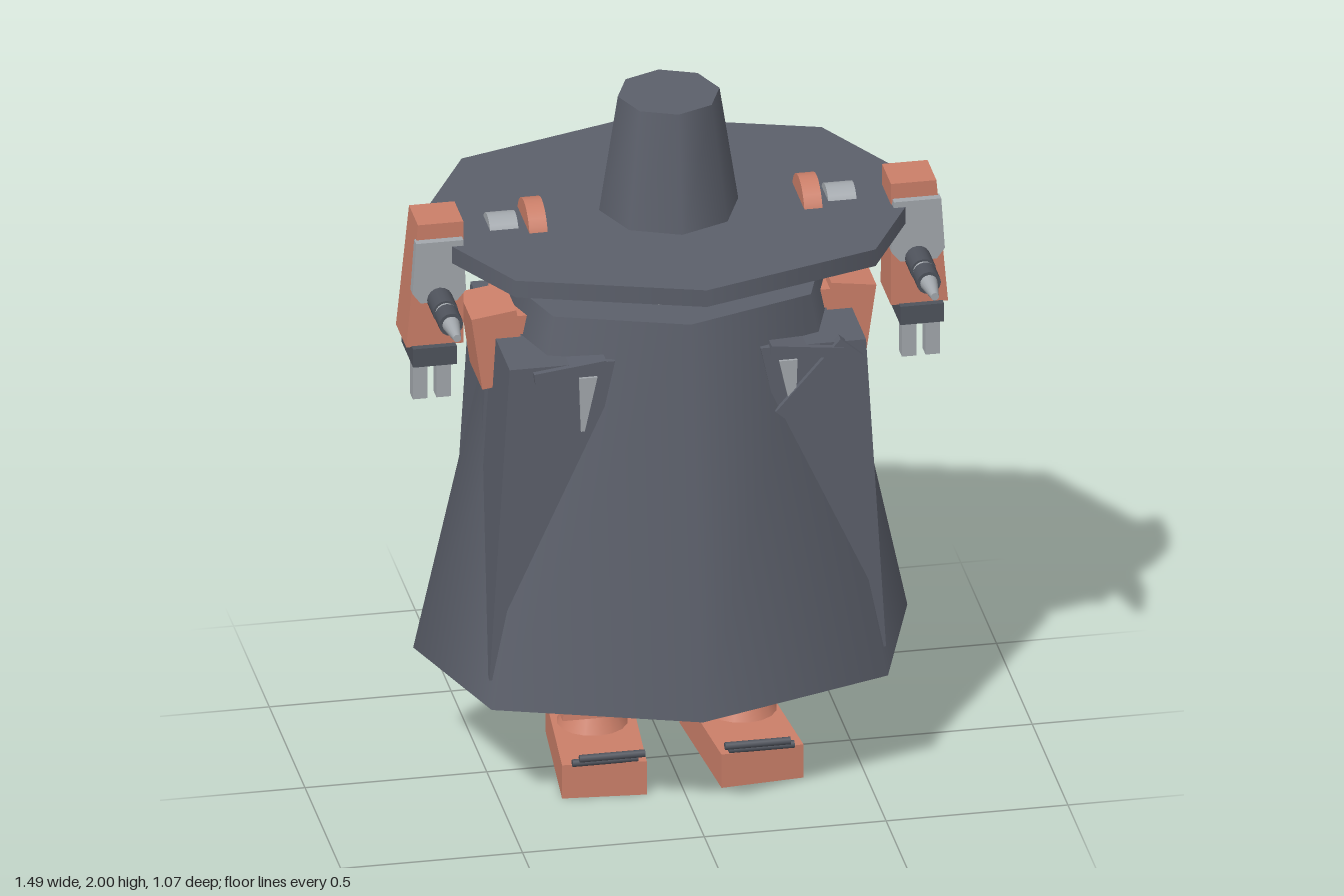
import * as THREE from 'three';

const mat = (name, color) => Object.assign(new THREE.MeshStandardMaterial({ color }), { name });

export function createModel() {
  const model = new THREE.Group();
  model.name = 'robedRobot';
  const cloth = mat('slate cloth', 0x5c606b);
  const orange = mat('terracotta', 0xcb7f69);
  const metal = mat('light metal', 0xa3a8ad);
  const dark = mat('dark metal', 0x4f535c);

  const add = (name, geo, material, x = 0, y = 0, z = 0) => {
    const m = new THREE.Mesh(geo, material);
    m.name = name;
    m.position.set(x, y, z);
    model.add(m);
    return m;
  };
  const box = (name, material, w, h, d, x, y, z) => add(name, new THREE.BoxGeometry(w, h, d), material, x, y, z);

  // Tapered block between two rectangles [x0, x1, z0, z1]; s = -1 mirrors it in x
  const taper = (name, material, y0, y1, low, high, s = 1) => {
    const g = new THREE.BoxGeometry(1, 1, 1);
    const p = g.attributes.position;
    for (let i = 0; i < p.count; i++) {
      const r = p.getY(i) > 0 ? high : low;
      const outer = p.getX(i) * s > 0;
      p.setXYZ(i, s * r[outer ? 1 : 0], p.getY(i) > 0 ? y1 : y0, r[p.getZ(i) > 0 ? 3 : 2]);
    }
    g.computeVertexNormals();
    return add(name, g, material);
  };

  // Robe: smooth seven-sided cone with one corner at the front
  const robe = new THREE.CylinderGeometry(0.65, 1, 1.115, 7);
  robe.scale(0.697, 1, 0.489);
  add('robe', robe, cloth, 0, 0.8925, -0.008);

  // Hat
  add('hatCrown', new THREE.CylinderGeometry(0.14, 0.195, 0.36, 8), cloth, 0, 1.82, 0);
  const brim = new THREE.CylinderGeometry(1, 1, 0.05, 8);
  brim.scale(0.7, 1, 0.535);
  add('hatBrim', brim, cloth, 0, 1.638, 0);

  // Head with face plate
  box('head', cloth, 0.38, 0.2, 0.24, 0, 1.53, 0.005);
  taper('facePlate', metal, 1.44, 1.585, [-0.065, 0.065, 0.12, 0.175], [-0.045, 0.045, 0.12, 0.17]);
  box('faceSlit', dark, 0.018, 0.08, 0.02, 0, 1.545, 0.18);
  box('faceSensor', dark, 0.018, 0.045, 0.02, 0, 1.563, 0.215);
  box('headRearStud', metal, 0.06, 0.03, 0.03, 0, 1.47, -0.125);

  for (const s of [1, -1]) {
    // Corner folds of the robe, front and back
    taper('frontFold', cloth, 0.41, 1.34, [0.4, 0.545, 0.02, 0.27], [0.2, 0.49, 0.02, 0.27], s);
    taper('rearFold', cloth, 0.41, 1.34, [0.4, 0.545, -0.28, -0.02], [0.2, 0.49, -0.28, -0.02], s);

    // Collar clasp and its metal tongue
    const clasp = box('collarClasp', cloth, 0.2, 0.03, 0.07, s * 0.325, 1.325, 0.252);
    clasp.rotation.z = -s * 0.12;
    taper('collarTongue', metal, 1.14, 1.3, [0.285, 0.295, 0.2, 0.278], [0.25, 0.3, 0.2, 0.278], s);

    // Back discs
    const disc = add('backDisc', new THREE.CylinderGeometry(0.058, 0.058, 0.02, 20), metal, s * 0.1, 1.31, -0.317);
    disc.rotation.x = Math.PI / 2 + 0.03;

    // Shoulder block and spur
    const shoulder = box('shoulder', orange, 0.125, 0.215, 0.175, s * 0.48, 1.305, -0.013);
    shoulder.rotation.z = -s * 0.14;
    taper('shoulderSpur', orange, 1.345, 1.4, [0.41, 0.44, -0.14, 0.07], [0.39, 0.47, -0.14, 0.07], s);

    // Forearm, plate, cuff and fingers
    taper('forearm', orange, 1.36, 1.725, [0.588, 0.745, -0.025, 0.12], [0.588, 0.713, -0.005, 0.12], s);
    const plate = new THREE.Shape([[0.61, 1.5], [0.71, 1.5], [0.732, 1.53], [0.722, 1.68], [0.592, 1.68], [0.585, 1.53]]
      .map(([x, y]) => new THREE.Vector2(s * x, y)));
    add('forearmPlate', new THREE.ExtrudeGeometry(plate, { depth: 0.03, bevelEnabled: false }), metal, 0, 0, 0.112);
    box('cuff', dark, 0.12, 0.055, 0.16, s * 0.67, 1.335, 0.06);
    for (const x of [0.64, 0.705]) box('finger', metal, 0.04, 0.12, 0.04, s * x, 1.257, 0.09);

    // Blaster with pointed nozzle
    const rod = (name, m, r0, r1, z0, z1) => {
      const c = add(name, new THREE.CylinderGeometry(r1, r0, z1 - z0, 16), m, s * 0.657, 1.508, (z0 + z1) / 2);
      c.rotation.x = Math.PI / 2;
    };
    rod('blasterBarrel', dark, 0.035, 0.035, 0.12, 0.225);
    rod('blasterRing', metal, 0.029, 0.029, 0.225, 0.24);
    rod('blasterSleeve', dark, 0.033, 0.033, 0.24, 0.3);
    rod('blasterNozzle', metal, 0.024, 0.011, 0.3, 0.385);

    // Wheels set through the brim
    const wheel = add('brimWheel', new THREE.CylinderGeometry(0.09, 0.09, 0.05, 24), orange, s * 0.378, 1.632, 0.02);
    const hub = add('brimRoller', new THREE.CylinderGeometry(0.055, 0.055, 0.078, 24), metal, s * 0.465, 1.635, 0.02);
    wheel.rotation.z = hub.rotation.z = Math.PI / 2;

    // Leg, ankle and foot
    taper('leg', orange, 0.168, 0.45, [0.095, 0.305, -0.118, 0.07], [0.137, 0.263, -0.08, 0.035], s);
    add('ankle', new THREE.CylinderGeometry(0.07, 0.097, 0.055, 16), orange, s * 0.205, 0.143, -0.025);
    const foot = box('foot', orange, 0.23, 0.1, 0.41, s * 0.2, 0.05, 0.004);
    foot.rotation.y = s * 0.085;

    // Toe bars
    for (const [y, z, x] of [[0.13, 0.228, 0.2], [0.107, 0.205, 0.215]]) {
      const bar = add('toeBar', new THREE.CylinderGeometry(0.011, 0.011, 0.18, 8), dark, s * x, y, z);
      bar.rotation.z = Math.PI / 2;
    }
  }

  // Loose strap across the left front fold
  const strap = box('chestStrap', cloth, 0.27, 0.085, 0.03, 0.36, 1.225, 0.27);
  strap.rotation.z = 0.85;

  return model;
}
